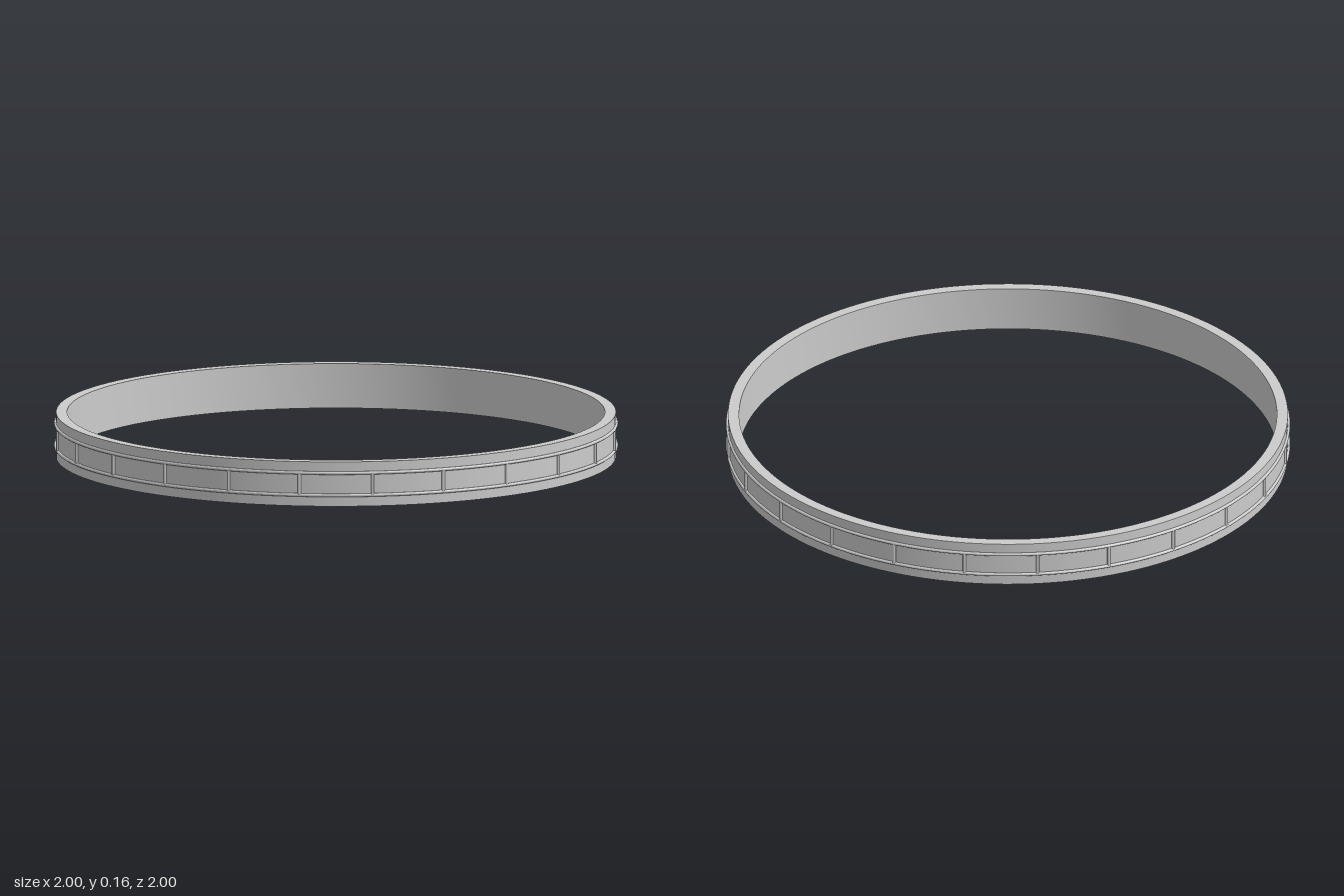
import * as THREE from 'three';
import { toCreasedNormals } from 'three/addons/utils/BufferGeometryUtils.js';

const HEIGHT = 0.16, INNER = 0.953, OUTER = 0.992;
const WIRE = 0.006, LOW = 0.04, HIGH = 0.12, BARS = 24;

export function createModel() {
  const model = new THREE.Group();
  const material = new THREE.MeshStandardMaterial({ color: 0xcccccc });

  const add = (name, geometry, parent = model) => {
    const mesh = new THREE.Mesh(geometry, material);
    mesh.name = name;
    parent.add(mesh);
    return mesh;
  };

  // Plain band with square edges
  const profile = [
    [INNER, 0], [OUTER, 0], [OUTER, HEIGHT], [INNER, HEIGHT], [INNER, 0],
  ].map(([r, y]) => new THREE.Vector2(r, y));
  add('band', toCreasedNormals(new THREE.LatheGeometry(profile, 128), 0.6));

  // Two raised wires running round the outside
  const wire = new THREE.TorusGeometry(1 - WIRE, WIRE, 10, 128).rotateX(Math.PI / 2);
  add('lowerWire', wire).position.y = LOW;
  add('upperWire', wire).position.y = HIGH;

  // Upright bars dividing the band into equal panels
  const bars = new THREE.Group();
  bars.name = 'dividers';
  model.add(bars);
  const bar = new THREE.CylinderGeometry(WIRE, WIRE, HIGH - LOW, 10);
  for (let i = 0; i < BARS; i++) {
    const angle = (i / BARS) * Math.PI * 2;
    add('dividerBar', bar, bars).position.set(
      Math.sin(angle) * (1 - WIRE), (LOW + HIGH) / 2, Math.cos(angle) * (1 - WIRE));
  }

  return model;
}
